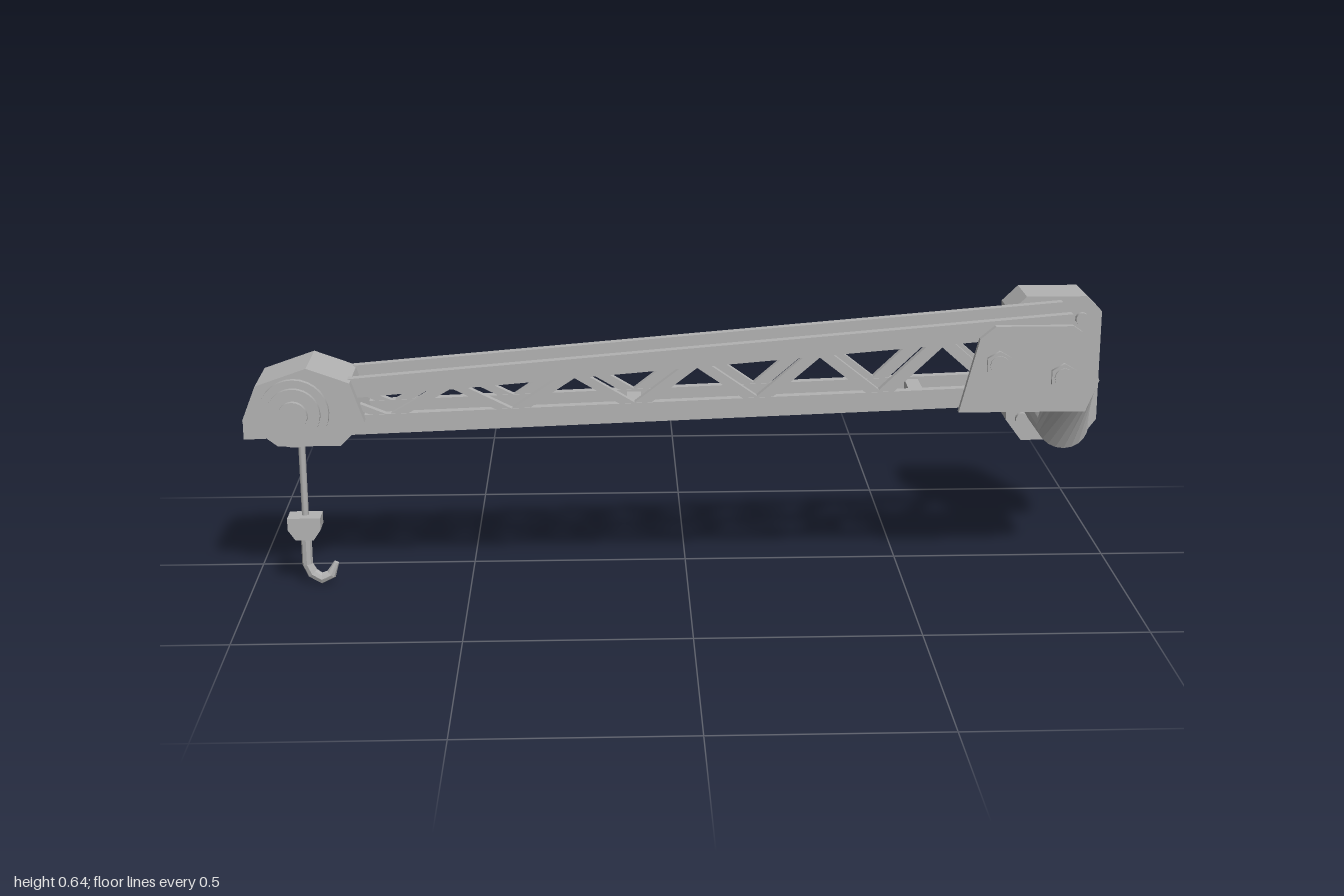
import * as THREE from 'three';

const V = (x, y, z) => new THREE.Vector3(x, y, z);

export function createModel() {
  const model = new THREE.Group();
  model.name = 'wallCrane';
  const steel = new THREE.MeshStandardMaterial({ color: 0xb3b3b3 });
  steel.name = 'steelGrey';

  const add = (name, geometry, parent = model) => {
    const mesh = new THREE.Mesh(geometry, steel);
    mesh.name = name;
    parent.add(mesh);
    return mesh;
  };

  // Outline in x/y extruded between two z values
  const plate = (name, points, z0, z1, parent) => {
    const shape = new THREE.Shape(points.map(([x, y]) => new THREE.Vector2(x, y)));
    const geo = new THREE.ExtrudeGeometry(shape, { depth: z1 - z0, bevelEnabled: false });
    return add(name, geo.translate(0, 0, z0), parent);
  };

  // Cylinder whose axis runs along z
  const disc = (name, x, y, z0, z1, r, sides, parent) => {
    const geo = new THREE.CylinderGeometry(r, r, z1 - z0, sides);
    return add(name, geo.rotateX(Math.PI / 2).translate(x, y, (z0 + z1) / 2), parent);
  };

  // Skin through elliptical rings { c, u, v, twist }, capped at both ends
  const loft = (name, rings, sides) => {
    const pos = [];
    const index = [];
    for (const { c, u, v, twist = 0 } of rings) {
      for (let j = 0; j < sides; j++) {
        const a = (j / sides) * Math.PI * 2 + twist;
        const p = c.clone().addScaledVector(u, Math.cos(a)).addScaledVector(v, Math.sin(a));
        pos.push(p.x, p.y, p.z);
      }
    }
    const last = (rings.length - 1) * sides;
    for (let i = 0; i < last; i += sides) {
      for (let j = 0; j < sides; j++) {
        const a = i + j, b = i + (j + 1) % sides;
        index.push(a, b, b + sides, a, b + sides, a + sides);
      }
    }
    for (let j = 1; j < sides - 1; j++) {
      index.push(0, j + 1, j, last, last + j, last + j + 1);
    }
    const geo = new THREE.BufferGeometry();
    geo.setAttribute('position', new THREE.Float32BufferAttribute(pos, 3));
    geo.setIndex(index);
    const flat = geo.toNonIndexed();
    flat.computeVertexNormals();
    return add(name, flat);
  };

  // Lower edges of the two sloping chords
  const bottomY = x => 0.4 + 0.036 * x;
  const topY = x => 0.521 + 0.083 * x;
  const end = 0.865, chord = 0.045;

  // Two lattice side frames
  const nodes = [];
  for (let i = 0; i < 13; i++) nodes.push(-0.808 + i * 0.138);
  for (const [name, z0, z1] of [['backTruss', 0.035, 0.057], ['frontTruss', 0.15, 0.172]]) {
    const truss = new THREE.Group();
    truss.name = name;
    model.add(truss);
    for (const [label, edge, x0] of [['bottomChord', bottomY, -1], ['topChord', topY, -0.95]]) {
      plate(label, [[x0, edge(x0)], [end, edge(end)], [end, edge(end) + chord],
        [x0, edge(x0) + chord]], z0, z1, truss);
    }
    // Zigzag bracing between the chords, slightly thinner than them
    for (let i = 0; i < nodes.length - 1; i++) {
      const [a, b] = [nodes[i], nodes[i + 1]];
      const height = (x, up) => (up ? topY(x) + 0.012 : bottomY(x) + chord - 0.012);
      const ya = height(a, i % 2 === 0), yb = height(b, i % 2 === 1);
      const w = 0.019;
      plate('brace', [[a - w, ya], [a + w, ya], [b + w, yb], [b - w, yb]],
        z0 + 0.002, z1 - 0.002, truss);
    }
  }

  // Spacers joining the side frames
  for (const x of [-0.12, 0.52]) {
    const bar = add('crossBar', new THREE.BoxGeometry(0.032, 0.034, 0.1));
    bar.position.set(x, bottomY(x) + chord / 2, 0.103);
  }

  // Pulley head with stepped hub
  plate('pulleyHousing', [[-0.92, 0.355], [-0.78, 0.355], [-0.725, 0.41], [-0.755, 0.5],
    [-0.85, 0.535], [-0.965, 0.495], [-0.997, 0.415]], 0.04, 0.198);
  disc('hubOuter', -0.88, 0.434, 0.198, 0.211, 0.078, 28);
  disc('hubMiddle', -0.88, 0.434, 0.211, 0.223, 0.06, 28);
  disc('hubInner', -0.88, 0.434, 0.223, 0.235, 0.033, 24);

  // Cable, weight and hook
  const cable = add('cable', new THREE.CylinderGeometry(0.008, 0.008, 0.22, 8));
  cable.position.set(-0.877, 0.27, 0.129);
  plate('hookWeight', [[-0.915, 0.17], [-0.915, 0.142], [-0.898, 0.117], [-0.857, 0.117],
    [-0.84, 0.142], [-0.84, 0.17]], 0.106, 0.159);
  const hookPath = [[-0.877, 0.12], [-0.877, 0.052], [-0.866, 0.029], [-0.845, 0.016],
    [-0.823, 0.026], [-0.81, 0.055]];
  const radii = [0.0125, 0.0125, 0.0135, 0.0135, 0.012, 0.006];
  loft('hook', hookPath.map(([x, y], i) => {
    const p = hookPath[Math.max(i - 1, 0)], n = hookPath[Math.min(i + 1, hookPath.length - 1)];
    const t = V(n[0] - p[0], n[1] - p[1], 0).normalize();
    return { c: V(x, y, 0.134), u: V(-t.y, t.x, 0).multiplyScalar(radii[i]), v: V(0, 0, radii[i]) };
  }), 8);

  // Gusset plate and hexagonal bolts
  plate('gussetPlate', [[0.612, 0.415], [0.9, 0.415], [0.929, 0.487], [0.885, 0.6],
    [0.865, 0.614], [0.69, 0.614], [0.655, 0.585]], 0.172, 0.187);
  for (const [x, y] of [[0.7, 0.527], [0.847, 0.497]]) {
    disc('gussetBolt', x, y, 0.187, 0.196, 0.032, 6);
    disc('gussetBoltCap', x, y, 0.196, 0.2, 0.022, 12);
  }

  // Bent support arm ending in a tilted disc
  loft('supportArm', [
    { c: V(0.877, 0.35, -0.118), u: V(0.062, 0, 0), v: V(0, 0.06, 0) },
    { c: V(0.877, 0.346, 0.0625), u: V(0.06, 0, 0), v: V(0, 0.05, -0.0225) },
    { c: V(0.88, 0.46, 0.107), u: V(0.058, 0, 0), v: V(0, 0.025, -0.0575), twist: 0.6 },
  ], 20);

  // Wall block with cut corners
  plate('wallBlock', [[0.815, 0.255], [0.958, 0.255], [0.996, 0.306], [0.996, 0.573],
    [0.958, 0.61], [0.815, 0.61], [0.777, 0.573], [0.777, 0.306]], -0.235, -0.115);
  for (const x of [0.815, 0.948]) {
    for (const y of [0.31, 0.556]) disc('wallBolt', x, y, -0.115, -0.102, 0.016, 10);
  }

  return model;
}
